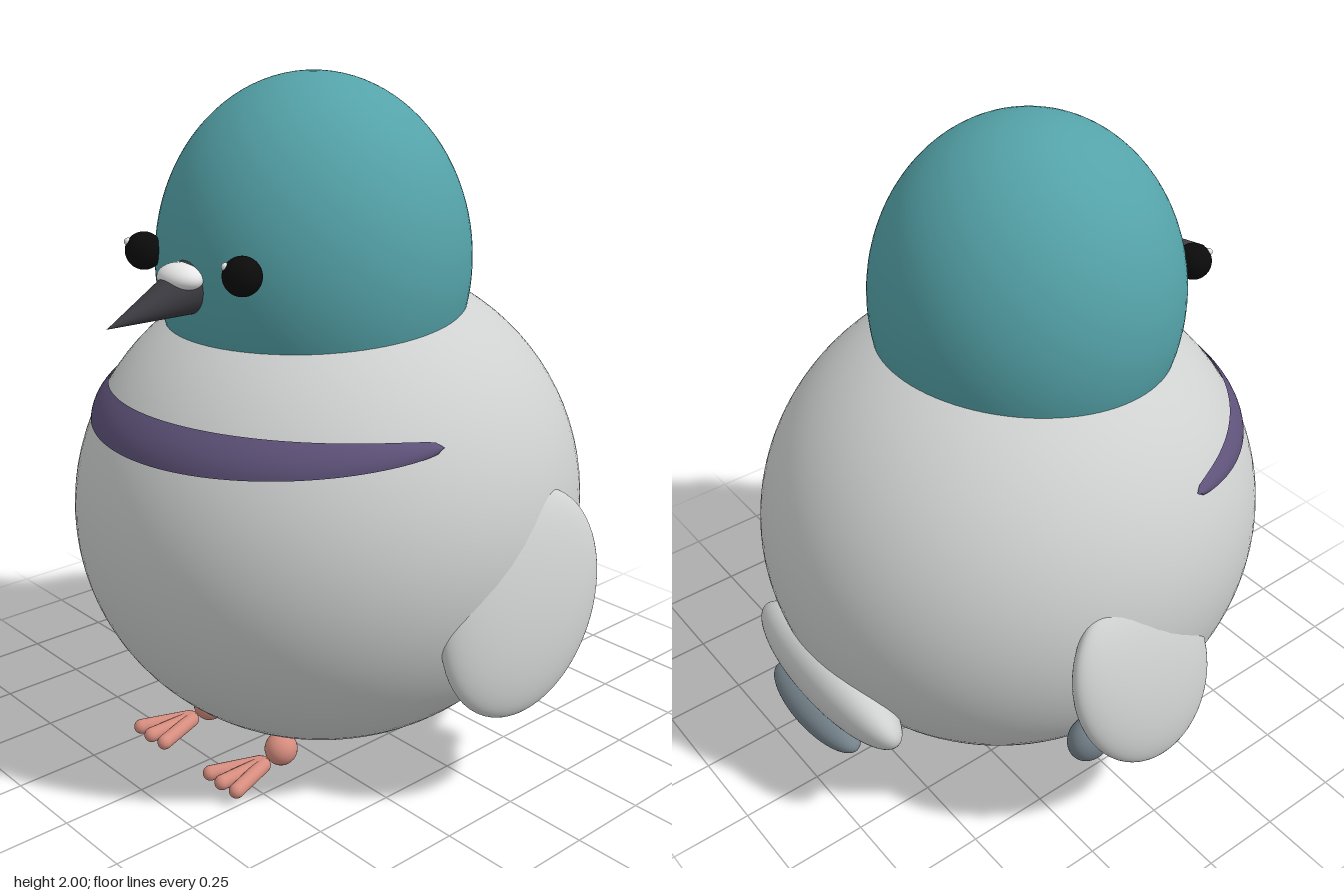
import * as THREE from 'three';

const paint = (name, color) => {
  const m = new THREE.MeshStandardMaterial({ color });
  m.name = name;
  return m;
};

export function createModel() {
  const model = new THREE.Group();
  model.name = 'bird';
  const lightGrey = paint('light grey', 0xcfd1d0);
  const teal = paint('teal', 0x54a3a9);
  const purple = paint('purple', 0x5e5279);
  const slate = paint('slate', 0x74828a);
  const pink = paint('pink', 0xd58c7e);
  const charcoal = paint('charcoal', 0x3d3c42);
  const black = paint('black', 0x0b0b0b);
  const white = paint('white', 0xf2f2f2);
  purple.side = THREE.DoubleSide;

  const add = (name, geometry, material, parent = model) => {
    const mesh = new THREE.Mesh(geometry, material);
    mesh.name = name;
    parent.add(mesh);
    return mesh;
  };
  const ellipsoid = (name, material, centre, radii, parent = model, detail = 32) => {
    const mesh = add(name, new THREE.SphereGeometry(1, detail * 2, detail), material, parent);
    mesh.position.set(...centre);
    mesh.scale.set(...radii);
    return mesh;
  };

  // Body and head
  const bodyCentre = [0, 0.735, 0.02], bodyRadii = [0.735, 0.73, 0.78];
  ellipsoid('body', lightGrey, bodyCentre, bodyRadii, model, 48);
  ellipsoid('head', teal, [0, 1.47, 0.08], [0.45, 0.53, 0.457], model, 48);

  // Collar: a band that hugs the chest and narrows towards both ends
  const collar = new THREE.PlaneGeometry(1, 1, 96, 8);
  const pos = collar.attributes.position;
  for (let i = 0; i < pos.count; i++) {
    const u = pos.getX(i) * 2, v = pos.getY(i) * 2;
    const angle = u * 1.33;
    const across = Math.sin(angle) / Math.sin(1.33);
    const half = 0.055 * Math.pow(Math.max(0, 1 - across * across), 0.33);
    const y = 1.075 + 0.012 * u * u + v * half;
    const ring = Math.sqrt(1 - ((y - bodyCentre[1]) / bodyRadii[1]) ** 2);
    const lift = 0.004 + 0.008 * (1 - v * v);
    pos.setXYZ(i,
      Math.sin(angle) * (bodyRadii[0] * ring + lift), y,
      bodyCentre[2] + Math.cos(angle) * (bodyRadii[2] * ring + lift));
  }
  collar.computeVertexNormals();
  add('collar', collar, purple);

  // Beak: a cone pointing forward and slightly down, with a pale cere on top
  const beakBase = new THREE.Vector3(0, 1.46, 0.5);
  const beakTip = new THREE.Vector3(0, 1.384, 0.79);
  const beakAxis = beakTip.clone().sub(beakBase);
  const beak = add('beak', new THREE.ConeGeometry(0.08, beakAxis.length(), 40), charcoal);
  beak.position.copy(beakBase).addScaledVector(beakAxis, 0.5);
  beak.quaternion.setFromUnitVectors(new THREE.Vector3(0, 1, 0), beakAxis.normalize());
  ellipsoid('cere', white, [0, 1.486, 0.55], [0.076, 0.04, 0.058]);

  // Tail: wide flattened feathers with a dark underside
  const tail = ellipsoid('tail', lightGrey, [0, 0.42, -0.67], [0.355, 0.142, 0.1]);
  tail.rotation.x = -0.4;
  ellipsoid('tailTip', slate, [0, 0.31, -0.725], [0.22, 0.062, 0.072]);

  for (const s of [1, -1]) {
    const side = s > 0 ? 'left' : 'right';

    // Eye with a small glint
    ellipsoid(side + 'Eye', black, [s * 0.22, 1.52, 0.515], [0.053, 0.053, 0.053]);
    ellipsoid(side + 'EyeGlint', white, [s * 0.22 - 0.021, 1.547, 0.553], [0.011, 0.011, 0.011], model, 10);

    // Wing: a flat leaning oval pressed against the body
    const wing = new THREE.SphereGeometry(1, 64, 32).applyMatrix4(new THREE.Matrix4().set(
      0.082, s * -0.05, s * -0.042, s * 0.71,
      0, 0.3, 0, 0.6,
      0, -0.08, 0.263, -0.055,
      0, 0, 0, 1));
    add(side + 'Wing', wing, lightGrey);
    ellipsoid(side + 'WingTip', slate, [s * 0.685, 0.43, -0.225], [0.055, 0.072, 0.07]);

    // Foot: ankle ball and three spread toes
    const foot = new THREE.Group();
    foot.name = side + 'Foot';
    foot.position.set(s * 0.175, 0, 0.37);
    model.add(foot);
    ellipsoid('ankle', pink, [0, 0.067, 0], [0.049, 0.049, 0.049], foot, 16);
    for (const t of [-1, 0, 1]) {
      const toe = add('toe', new THREE.CapsuleGeometry(0.022, 0.15, 8, 20), pink, foot);
      toe.rotation.set(Math.PI / 2, 0, -t * 0.36);
      toe.position.set(t * 0.035, 0.045, 0.145);
    }
  }
  return model;
}
